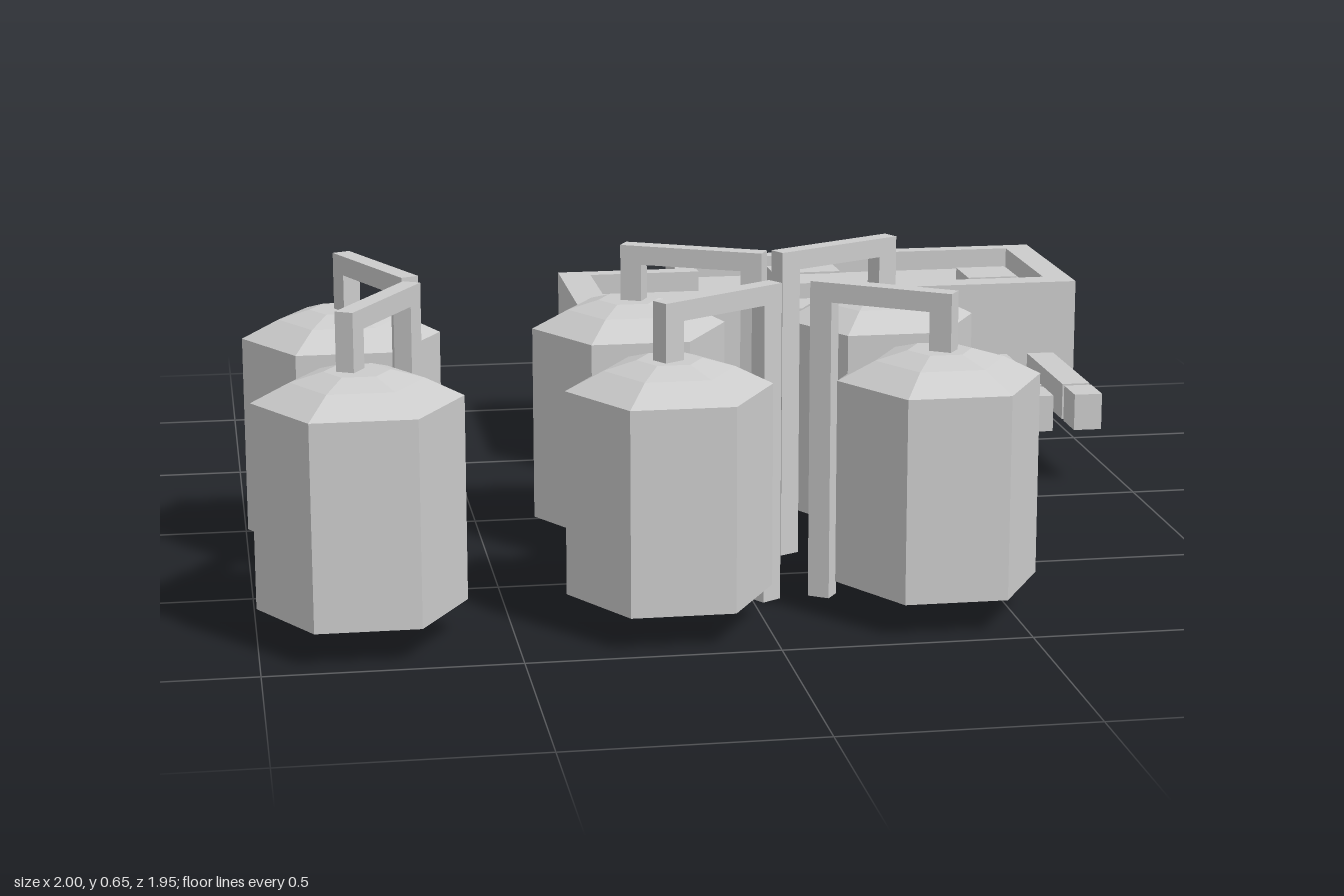
import * as THREE from 'three';

const grey = new THREE.MeshStandardMaterial({ color: 0xcccccc, flatShading: true, side: THREE.DoubleSide });

function add(parent, name, geometry, x = 0, y = 0, z = 0) {
  const mesh = new THREE.Mesh(geometry, grey);
  mesh.name = name;
  mesh.position.set(x, y, z);
  parent.add(mesh);
  return mesh;
}

// Box given by its min and max on each axis
function addBox(parent, name, [x0, x1], [y0, y1], [z0, z1]) {
  return add(parent, name, new THREE.BoxGeometry(x1 - x0, y1 - y0, z1 - z0),
    (x0 + x1) / 2, (y0 + y1) / 2, (z0 + z1) / 2);
}

// Closed bands joining successive footprints, each { y, points: [[x, z], ...] }
function loopBands(loops) {
  const n = loops[0].points.length;
  const positions = [], index = [];
  for (const { y, points } of loops) for (const [x, z] of points) positions.push(x, y, z);
  for (let k = 0; k < loops.length - 1; k++) {
    for (let i = 0; i < n; i++) {
      const a = k * n + i, b = k * n + (i + 1) % n;
      index.push(a, b, b + n, a, b + n, a + n);
    }
  }
  const geometry = new THREE.BufferGeometry();
  geometry.setAttribute('position', new THREE.Float32BufferAttribute(positions, 3));
  geometry.setIndex(index);
  const flat = geometry.toNonIndexed();
  flat.computeVertexNormals();
  return flat;
}

function createBuilding() {
  const building = new THREE.Group();
  building.name = 'building';
  const base = 0.125, top = 0.383, roofY = 0.335;
  const outer = [[-0.214, -0.32], [0.535, -0.32], [0.535, -0.52], [1, -0.52],
    [1, -0.98], [0.075, -0.98], [0.075, -0.82], [-0.214, -0.82]];
  const inner = [[-0.14, -0.39], [0.476, -0.39], [0.476, -0.583], [0.936, -0.583],
    [0.936, -0.94], [0.125, -0.94], [0.125, -0.778], [-0.14, -0.778]];

  // Outer walls, parapet rim and inner parapet walls, open underneath
  add(building, 'wallsAndParapet', loopBands([
    { y: base, points: outer }, { y: top, points: outer },
    { y: top, points: inner }, { y: roofY, points: inner },
  ]));

  // Recessed roof
  const shape = new THREE.Shape(inner.map(([x, z]) => new THREE.Vector2(x, -z)));
  add(building, 'roof', new THREE.ShapeGeometry(shape).rotateX(-Math.PI / 2), 0, roofY, 0);

  // Roof vents
  const vents = [
    [[0.31, 0.476], [-0.87, -0.78]],
    [[0.31, 0.476], [-0.758, -0.65]],
    [[0.768, 0.888], [-0.774, -0.65]],
  ];
  for (const [x, z] of vents) addBox(building, 'roofVent', x, [roofY, 0.372], z);
  return building;
}

// Hexagonal tank with a faceted dome, open underneath
function createTank(x, z) {
  const profile = [[0.206, 0.068], [0.206, 0.48], [0.13, 0.518], [0.065, 0.537], [0, 0.537]]
    .map(([r, y]) => new THREE.Vector2(r, y));
  const mesh = new THREE.Mesh(new THREE.LatheGeometry(profile, 6, Math.PI / 2), grey);
  mesh.name = 'tank';
  mesh.position.set(x, 0, z);
  return mesh;
}

// Square pipe: up from the dome, across, and down to the ground
function createPipe([x0, z0], [x1, z1]) {
  const pipe = new THREE.Group();
  pipe.name = 'tankPipe';
  const length = Math.hypot(x1 - x0, z1 - z0);
  const half = 0.019, leg = 0.046, top = 0.655, under = 0.615;
  addBox(pipe, 'pipeRiser', [0, leg], [0.5, under], [-half, half]);
  addBox(pipe, 'pipeArm', [0, length], [under, top], [-half, half]);
  addBox(pipe, 'pipeDownleg', [length - leg, length], [0, under], [-half, half]);
  pipe.position.set(x0, 0, z0);
  pipe.rotation.y = Math.atan2(z0 - z1, x1 - x0);
  return pipe;
}

export function createModel() {
  const model = new THREE.Group();
  model.name = 'tankFarm';
  model.add(createBuilding());

  // Three long blocks beside the building, each with a short one in front
  for (const x of [0.684, 0.798, 0.912]) {
    const width = [x - 0.032, x + 0.032];
    addBox(model, 'longBlock', width, [0.13, 0.213], [-0.505, -0.185]);
    addBox(model, 'shortBlock', width, [0.13, 0.213], [-0.17, -0.08]);
  }

  // Two rows of three tanks
  for (const z of [0.222, 0.789]) {
    for (const x of [-0.794, -0.187, 0.353]) model.add(createTank(x, z));
  }

  // One pipe per tank: start over the dome, end at the ground leg
  const pipes = [
    [[-0.79, 0.21], [-0.668, 0.49]],
    [[-0.197, 0.212], [0.08, 0.353]],
    [[0.38, 0.212], [0.107, 0.353]],
    [[-0.818, 0.803], [-0.668, 0.54]],
    [[-0.21, 0.812], [0.048, 0.652]],
    [[0.377, 0.812], [0.128, 0.643]],
  ];
  for (const [start, end] of pipes) model.add(createPipe(start, end));
  return model;
}
